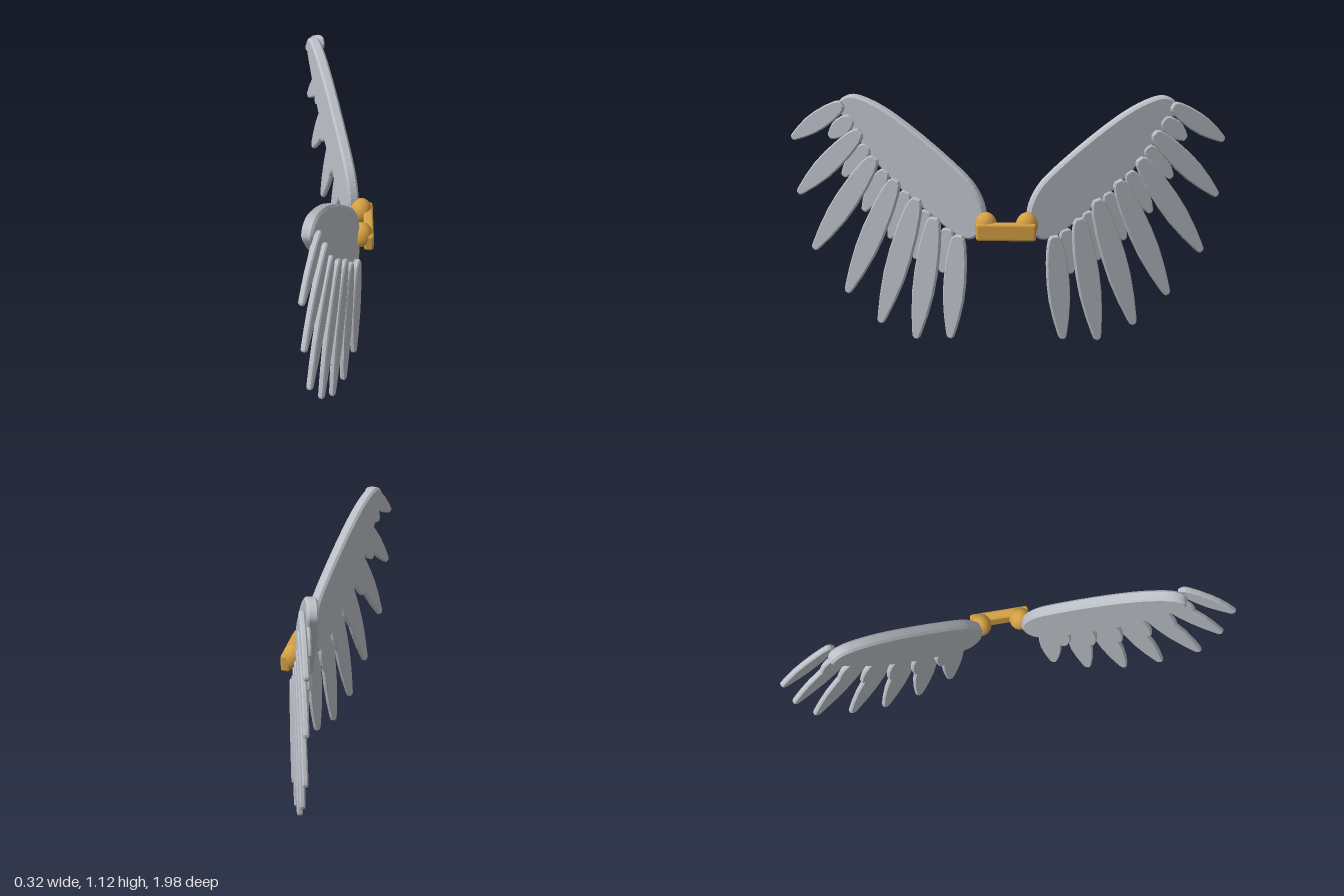
import * as THREE from 'three';
import { RoundedBoxGeometry } from 'three/addons/geometries/RoundedBoxGeometry.js';

const COS = 0.958; // sweep of each wing away from the z axis
const SWEEP = Math.acos(-0.287);

// Feathers as [root z, root y, tip z, tip y, half width]
const FEATHERS = [
  [0.74, 1.09, 0.985, 0.915, 0.044],
  [0.66, 0.97, 0.965, 0.655, 0.05],
  [0.595, 0.855, 0.9, 0.39, 0.054],
  [0.5, 0.76, 0.745, 0.193, 0.055],
  [0.405, 0.68, 0.588, 0.062, 0.056],
  [0.325, 0.598, 0.42, 0.004, 0.055],
  [0.215, 0.525, 0.258, 0.026, 0.053],
];

// Feather profile: distance from the root, share of the half width
const PROFILE = [[0, 0.3], [0.03, 0.55], [0.1, 0.74], [0.25, 0.92], [0.45, 1],
  [0.62, 0.94], [0.8, 0.7], [0.95, 0.4], [0.985, 0.3], [1, 0.14]];

// Upper-wing outline as (z, y)
const ARM = [[0.762, 1.075], [0.745, 1.11], [0.70, 1.127], [0.62, 1.108], [0.5, 1.045],
  [0.25, 0.855], [0.14, 0.745], [0.096, 0.64], [0.105, 0.55], [0.15, 0.503], [0.215, 0.51],
  [0.34, 0.6], [0.48, 0.71], [0.6, 0.835], [0.69, 0.95], [0.745, 1.03]];

// Bevelled plate, centred on its own thickness
function plate(shape, thickness, bevel, curveSegments) {
  const depth = thickness - 2 * bevel;
  const geo = new THREE.ExtrudeGeometry(shape, {
    depth, curveSegments, bevelEnabled: true, bevelThickness: bevel,
    bevelSize: bevel, bevelOffset: -bevel, bevelSegments: 1,
  });
  return geo.translate(0, 0, -depth / 2);
}

function featherGeometry([rz, ry, tz, ty, half]) {
  const root = new THREE.Vector2(rz / COS, ry);
  const along = new THREE.Vector2(tz / COS, ty).sub(root);
  const across = new THREE.Vector2(-along.y, along.x).normalize();
  const at = (t, w) => root.clone().addScaledVector(along, t).addScaledVector(across, w * half);
  const points = [
    ...PROFILE.map(([t, w]) => at(t, w)),
    ...PROFILE.slice().reverse().map(([t, w]) => at(t, -w)),
  ];
  return plate(new THREE.Shape(points), 0.025, 0.006, 1);
}

function armGeometry() {
  const curve = new THREE.CatmullRomCurve3(
    ARM.map(([z, y]) => new THREE.Vector3(z / COS + 0.013, y, 0)), true);
  const points = curve.getPoints(64).slice(0, -1).map((p) => new THREE.Vector2(p.x, p.y));
  return plate(new THREE.Shape(points), 0.05, 0.01, 1);
}

export function createModel() {
  const model = new THREE.Group();
  model.name = 'wingPack';
  const grey = new THREE.MeshStandardMaterial({ color: 0xbcc0c7 });
  grey.name = 'wing grey';
  const gold = new THREE.MeshStandardMaterial({ color: 0xd4a044 });
  gold.name = 'harness gold';

  const add = (parent, name, geometry, material) => {
    const mesh = new THREE.Mesh(geometry, material);
    mesh.name = name;
    parent.add(mesh);
    return mesh;
  };

  // Short feathers fill the gaps between neighbouring long ones
  const coverts = FEATHERS.slice(1).map((f, i) => {
    const [rz, ry, tz, ty] = f.map((v, k) => (v + FEATHERS[i][k]) / 2);
    const mix = (a, b, t) => a + (b - a) * t;
    return [mix(rz, tz, 0.03), mix(ry, ty, 0.03), mix(rz, tz, 0.42), mix(ry, ty, 0.42), 0.042];
  });

  for (const side of [1, -1]) {
    const wing = new THREE.Group();
    wing.name = side > 0 ? 'frontWing' : 'rearWing';
    wing.position.x = 0.147;
    wing.rotation.y = -side * SWEEP;
    model.add(wing);

    // Layers step back from the long feathers to the upper wing
    add(wing, 'upperWing', armGeometry(), grey).position.z = side * 0.045;
    FEATHERS.forEach((f, i) => add(wing, `longFeather${i + 1}`, featherGeometry(f), grey));
    coverts.forEach((f, i) => {
      add(wing, `shortFeather${i + 1}`, featherGeometry(f), grey).position.z = side * 0.023;
    });

    // Shoulder joint
    const joint = add(model, 'shoulderJoint', new THREE.SphereGeometry(0.05, 20, 14), gold);
    joint.scale.y = 1.2;
    joint.position.set(0.104, 0.579, side * 0.092);
  }

  // Bar joining the shoulders
  const bar = add(model, 'harnessBar', new RoundedBoxGeometry(0.044, 0.08, 0.268, 2, 0.012), gold);
  bar.position.set(0.136, 0.558, 0);

  return model;
}
